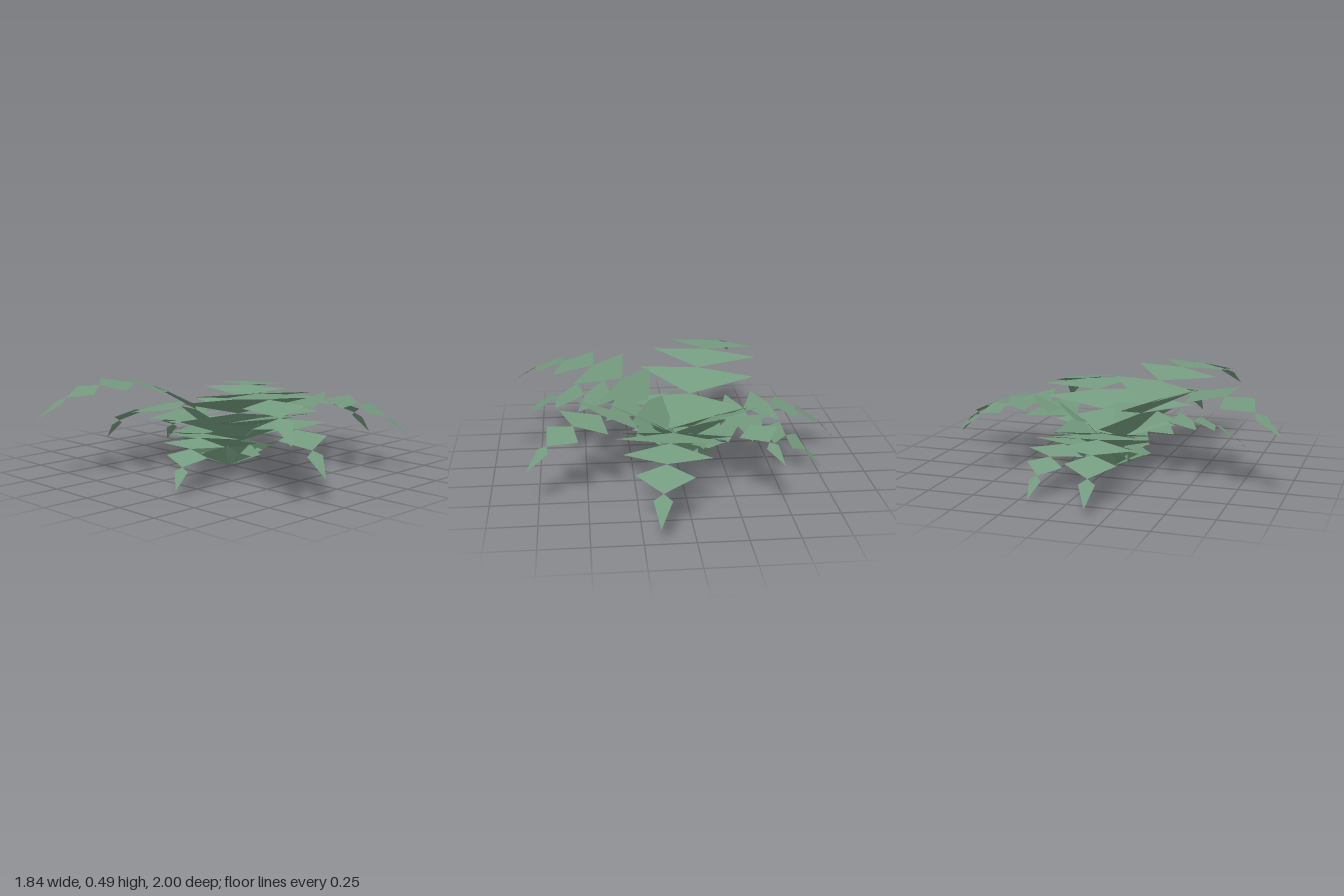
import * as THREE from 'three';

const SEGMENTS = 7;
const CURL = THREE.MathUtils.degToRad(102); // bend from first to last leaflet
// full leaflet widths and position of the widest point, in leaflet lengths
const WIDTHS = [2.45, 3.3, 3.5, 3.2, 2.53, 1.65, 0.53];
const WIDEST = [0.62, 0.76, 0.83, 0.79, 0.64, 0.42, 0.2];
const ROOT = new THREE.Vector3(-0.02, 0, 0.01);

// tip of every frond: x, y, z
const TIPS = [
  [0.32, 0.04, 0.705],
  [0.91, 0.32, 0.525],
  [0.92, 0.13, 0.29],
  [0.81, 0.19, -0.545],
  [0.17, 0.075, -1.00],
  [-0.47, 0.25, -0.715],
  [-0.77, 0.01, -0.20],
  [-0.92, 0.045, 0.15],
  [-0.42, 0.33, 0.995],
];

// Chain of flat diamonds along an arc from the root to the tip
function frondGeometry(tip) {
  const chord = new THREE.Vector3(...tip).sub(ROOT);
  const reach = Math.hypot(chord.x, chord.z);
  const out = new THREE.Vector3(chord.x / reach, 0, chord.z / reach);
  const side = new THREE.Vector3(out.z, 0, -out.x);
  const meanPitch = Math.atan2(chord.y, reach);
  const bends = WIDTHS.map((_, i) => CURL * (0.5 - i / (SEGMENTS - 1)));
  const length = chord.length() / bends.reduce((sum, b) => sum + Math.cos(b), 0);

  const positions = [];
  const start = ROOT.clone();
  bends.forEach((bend, i) => {
    const pitch = meanPitch + bend;
    const step = out.clone().multiplyScalar(Math.cos(pitch) * length);
    step.y = Math.sin(pitch) * length;
    const end = start.clone().add(step);
    const middle = start.clone().addScaledVector(step, WIDEST[i]);
    const half = WIDTHS[i] * length / 2;
    const a = middle.clone().addScaledVector(side, half);
    const b = middle.clone().addScaledVector(side, -half);
    for (const p of [start, end, a, start, b, end]) positions.push(p.x, p.y, p.z);
    start.copy(end);
  });

  const geometry = new THREE.BufferGeometry();
  geometry.setAttribute('position', new THREE.Float32BufferAttribute(positions, 3));
  geometry.computeVertexNormals();
  return geometry;
}

export function createModel() {
  const model = new THREE.Group();
  model.name = 'fern';
  const leafGreen = new THREE.MeshStandardMaterial({
    color: 0x739a7e, side: THREE.DoubleSide, flatShading: true,
  });
  leafGreen.name = 'leaf green';

  TIPS.forEach((tip, i) => {
    const frond = new THREE.Mesh(frondGeometry(tip), leafGreen);
    frond.name = `frond${i + 1}`;
    model.add(frond);
  });
  return model;
}
